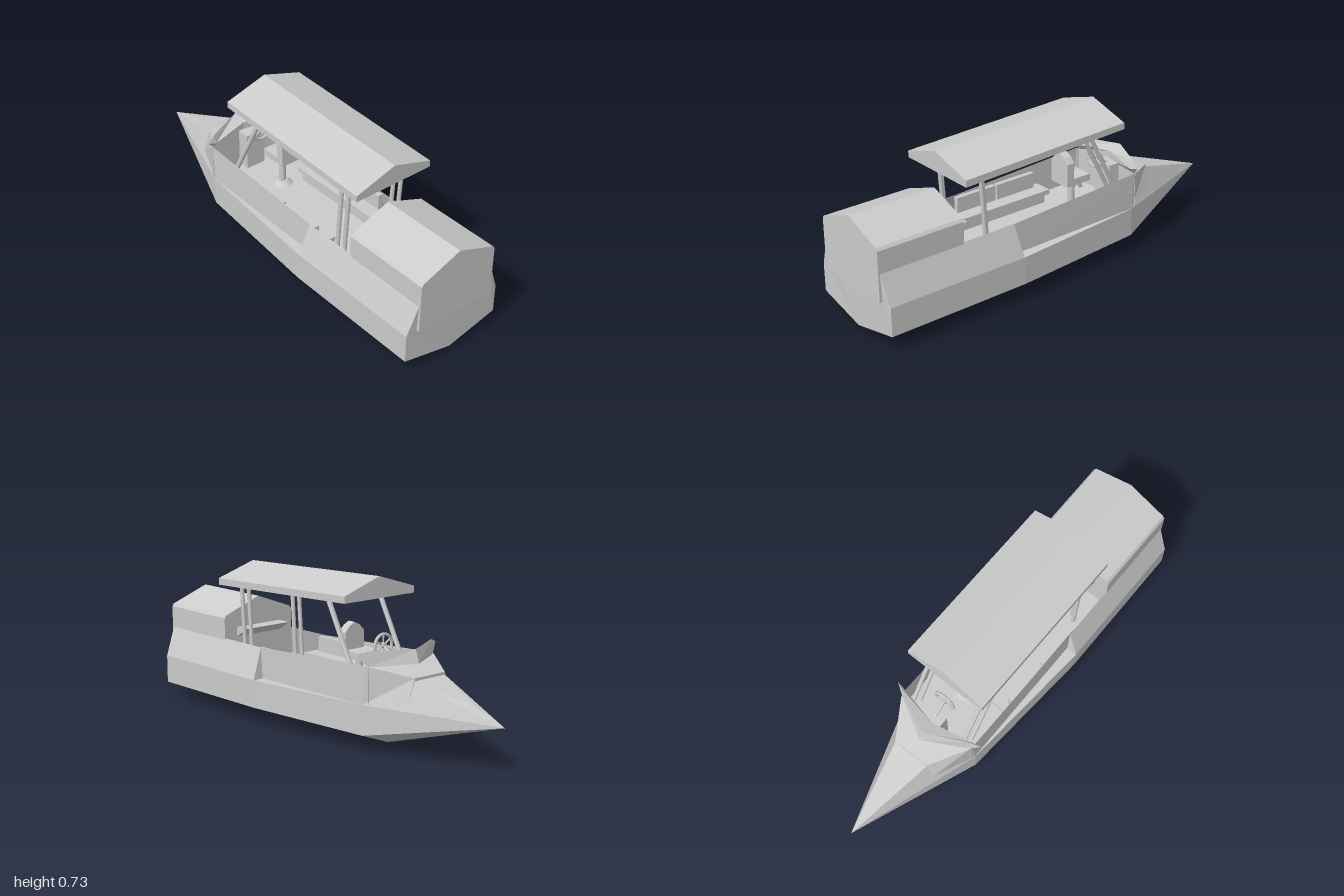
import * as THREE from 'three';

const solid = new THREE.MeshStandardMaterial({ color: 0xcccccc, flatShading: true });
const shell = new THREE.MeshStandardMaterial({ color: 0xcccccc, flatShading: true, side: THREE.DoubleSide });
const smooth = new THREE.MeshStandardMaterial({ color: 0xcccccc });

export function createModel() {
  const boat = new THREE.Group();
  boat.name = 'riverBoat';

  const add = (name, geometry, material = solid, parent = boat) => {
    const mesh = new THREE.Mesh(geometry, material);
    mesh.name = name;
    parent.add(mesh);
    return mesh;
  };

  // Flat panels: each face is a convex loop of corners; mirror copies them across z = 0
  const panels = (name, faces, mirror = false) => {
    const all = [...faces];
    if (mirror) for (const f of faces) all.push(f.map(([x, y, z]) => [x, y, -z]).reverse());
    const pos = [];
    for (const f of all)
      for (let i = 1; i < f.length - 1; i++) pos.push(...f[0], ...f[i], ...f[i + 1]);
    const g = new THREE.BufferGeometry();
    g.setAttribute('position', new THREE.Float32BufferAttribute(pos, 3));
    g.computeVertexNormals();
    return add(name, g, shell);
  };

  const box = (name, x0, x1, y0, y1, z0, z1, parent) => {
    const m = add(name, new THREE.BoxGeometry(x1 - x0, y1 - y0, z1 - z0), solid, parent);
    m.position.set((x0 + x1) / 2, (y0 + y1) / 2, (z0 + z1) / 2);
    return m;
  };

  const rod = (name, a, b, r, parent) => {
    const p = new THREE.Vector3(...a), q = new THREE.Vector3(...b);
    const m = add(name, new THREE.CylinderGeometry(r, r, p.distanceTo(q), 10), smooth, parent);
    m.position.copy(p).add(q).multiplyScalar(0.5);
    m.quaternion.setFromUnitVectors(new THREE.Vector3(0, 1, 0), q.sub(p).normalize());
    return m;
  };

  // Prism running along x from a z/y outline
  const prism = (name, outline, x0, x1) => {
    const shape = new THREE.Shape(outline.map(([z, y]) => new THREE.Vector2(-z, y)));
    const g = new THREE.ExtrudeGeometry(shape, { depth: x1 - x0, bevelEnabled: false });
    g.rotateY(Math.PI / 2);
    g.translate(x0, 0, 0);
    return add(name, g);
  };

  // Lower hull: keel, chine and rub line at three stations
  const stations = [
    { x: -0.385, w: 0.205, keel: [-0.33, 0, 0], chine: 0.08, top: 0.215 },
    { x: 0.29, w: 0.255, keel: [0.29, 0.008, 0], chine: 0.076, top: 0.206 },
    { x: 0.98, w: 0.255, keel: [0.98, 0.015, 0], chine: 0.073, top: 0.206 },
  ].map(s => [s.keel, [s.x, s.chine, s.w], [s.x, s.top, s.w]]);
  const hullFaces = [];
  for (let i = 0; i < 2; i++)
    for (let j = 0; j < 2; j++)
      hullFaces.push([stations[i][j], stations[i + 1][j], stations[i + 1][j + 1], stations[i][j + 1]]);
  panels('lowerHull', hullFaces, true);

  // Pointed bow with a raised foredeck
  const tip = [-1, 0.205, 0], ridge = [-0.85, 0.257, 0];
  const [bowKeel, bowChine, bowEdge] = stations[0];
  const deckIn = [-0.58, 0.335, 0.09];
  panels('bow', [
    [tip, bowKeel, bowChine],
    [tip, bowChine, bowEdge],
    [tip, bowEdge, deckIn],
    [tip, deckIn, ridge],
    [ridge, deckIn, [-0.58, 0.335, 0]],
  ], true);

  // Floor and side shelf
  panels('floor', [[
    [-0.58, 0.212, 0], [-0.58, 0.212, 0.13], [-0.385, 0.212, 0.205],
    [0.29, 0.206, 0.255], [0.98, 0.206, 0.255], [0.98, 0.206, 0],
  ]], true);

  // Cockpit side walls
  panels('coaming', [
    [[-0.385, 0.215, 0.203], [0.29, 0.206, 0.203], [0.305, 0.35, 0.2], [-0.4, 0.385, 0.2]],
    [[-0.58, 0.25, 0.125], [-0.385, 0.215, 0.204], [-0.4, 0.385, 0.2], [-0.58, 0.347, 0.09]],
    [[-0.58, 0.25, 0], [-0.58, 0.25, 0.125], [-0.58, 0.347, 0.09], [-0.58, 0.347, 0]],
  ], true);

  // Dashboard cover and its back face
  panels('dashboard', [
    [[-0.58, 0.347, 0], [-0.58, 0.347, 0.09], [-0.41, 0.383, 0.196], [-0.43, 0.385, 0]],
    [[-0.43, 0.385, 0], [-0.41, 0.383, 0.196], [-0.41, 0.212, 0.196], [-0.43, 0.212, 0]],
  ], true);

  // Sloped upper hull at the stern, with transom
  panels('sternTopside', [
    [[0.29, 0.206, 0.255], [0.98, 0.206, 0.255], [0.99, 0.35, 0.2], [0.305, 0.35, 0.2]],
    [[0.29, 0.206, 0.203], [0.29, 0.206, 0.255], [0.305, 0.35, 0.2]],
    [[0.98, 0.015, 0], [0.99, 0.35, 0], [0.99, 0.35, 0.2], [0.98, 0.206, 0.255], [0.98, 0.073, 0.255]],
  ], true);

  // Stern cabin with pitched roof, and a ledge on its front
  prism('cabin', [[0.203, 0.215], [0.203, 0.445], [0.193, 0.458], [0, 0.53],
    [-0.193, 0.458], [-0.203, 0.445], [-0.203, 0.215]], 0.572, 0.998);
  const ledge = [[0.5, 0.395, 0.13], [0.572, 0.395, 0.13], [0.572, 0.35, 0.13]];
  const ledgeMid = ledge.map(([x, y]) => [x, y, 0]);
  panels('cabinLedge', [
    ledge,
    [ledge[0], ledgeMid[0], ledgeMid[1], ledge[1]],
    [ledge[2], ledgeMid[2], ledgeMid[0], ledge[0]],
  ], true);

  // V-shaped windscreen with swept side tips
  const screen = [[-0.515, 0.385, 0], [-0.495, 0.445, 0], [-0.43, 0.425, 0], [-0.43, 0.383, 0]];
  const front = [-0.41, 0.38, 0.19], top = [-0.4, 0.447, 0.19], back = [-0.385, 0.41, 0.19];
  const point = [-0.38, 0.427, 0.238];
  panels('windscreen', [
    [screen[0], front, top, screen[1]],
    [screen[1], top, back, screen[2]],
    [screen[2], back, front, screen[3]],
    [front, point, top], [top, point, back], [back, point, front],
  ], true);

  // Canopy: pitched roof tilting down toward the stern
  const canopy = prism('canopy', [[0.18, 0], [0.18, 0.031], [-0.025, 0.095], [-0.23, 0.031], [-0.23, 0]], 0, 0.875);
  canopy.position.set(-0.3, 0.64, 0);
  canopy.rotation.z = -0.035;

  // Paired canopy posts
  for (const z of [0.13, -0.17]) {
    for (const d of [-0.011, 0.011]) {
      rod('frontPost', [-0.345 + d, 0.225, z + d], [-0.125 + d, 0.64, z + d], 0.01);
      rod('rearPost', [0.425 + d, 0.212, z - d], [0.453 + d, 0.62, z - d], 0.01);
    }
  }

  // Side benches with back cushions
  for (const s of [1, -1]) {
    const bench = new THREE.Group();
    bench.name = s > 0 ? 'frontBench' : 'rearBench';
    boat.add(bench);
    const zs = (a, b) => (s > 0 ? [a, b] : [-b, -a]);
    box('benchBase', -0.13, 0.34, 0.21, 0.25, ...zs(0.115, 0.196), bench);
    box('benchSeat', -0.15, 0.36, 0.25, 0.272, ...zs(0.105, 0.196), bench);
    for (let i = 0; i < 2; i++)
      box('benchBack', -0.11 + i * 0.225, 0.105 + i * 0.225, 0.272, 0.345, ...zs(0.172, 0.196), bench);
  }

  // Helm chair
  const chair = new THREE.Group();
  chair.name = 'helmChair';
  chair.position.z = -0.025;
  boat.add(chair);
  box('chairSeat', -0.235, -0.11, 0.36, 0.392, -0.055, 0.055, chair);
  const backShape = new THREE.Shape([[-0.055, 0.36], [0.055, 0.36], [0.055, 0.47], [0.03, 0.497],
    [0, 0.512], [-0.03, 0.497], [-0.055, 0.47]].map(p => new THREE.Vector2(...p)));
  const backRest = add('chairBack', new THREE.ExtrudeGeometry(backShape, { depth: 0.04, bevelEnabled: false }), solid, chair);
  backRest.rotation.y = Math.PI / 2;
  backRest.position.x = -0.14;
  rod('chairPost', [-0.17, 0.22, 0], [-0.17, 0.36, 0], 0.016, chair);
  const foot = add('chairFoot', new THREE.CylinderGeometry(0.025, 0.05, 0.02, 12), smooth, chair);
  foot.position.set(-0.17, 0.222, 0);

  // Steering wheel on its console
  const helm = new THREE.Group();
  helm.name = 'helm';
  helm.position.set(-0.317, 0.435, -0.02);
  boat.add(helm);
  add('wheelRim', new THREE.TorusGeometry(0.05, 0.007, 8, 28), smooth, helm).rotation.y = Math.PI / 2;
  for (let i = 0; i < 6; i++) {
    const a = i * Math.PI / 3;
    rod('wheelSpoke', [0, 0, 0], [0, 0.05 * Math.cos(a), 0.05 * Math.sin(a)], 0.004, helm);
  }
  rod('wheelHub', [-0.012, 0, 0], [0.01, 0, 0], 0.012, helm);
  rod('steeringColumn', [0, 0, 0], [-0.08, -0.055, 0], 0.008, helm);
  box('console', -0.43, -0.365, 0.212, 0.39, -0.07, 0.03);

  return boat;
}
